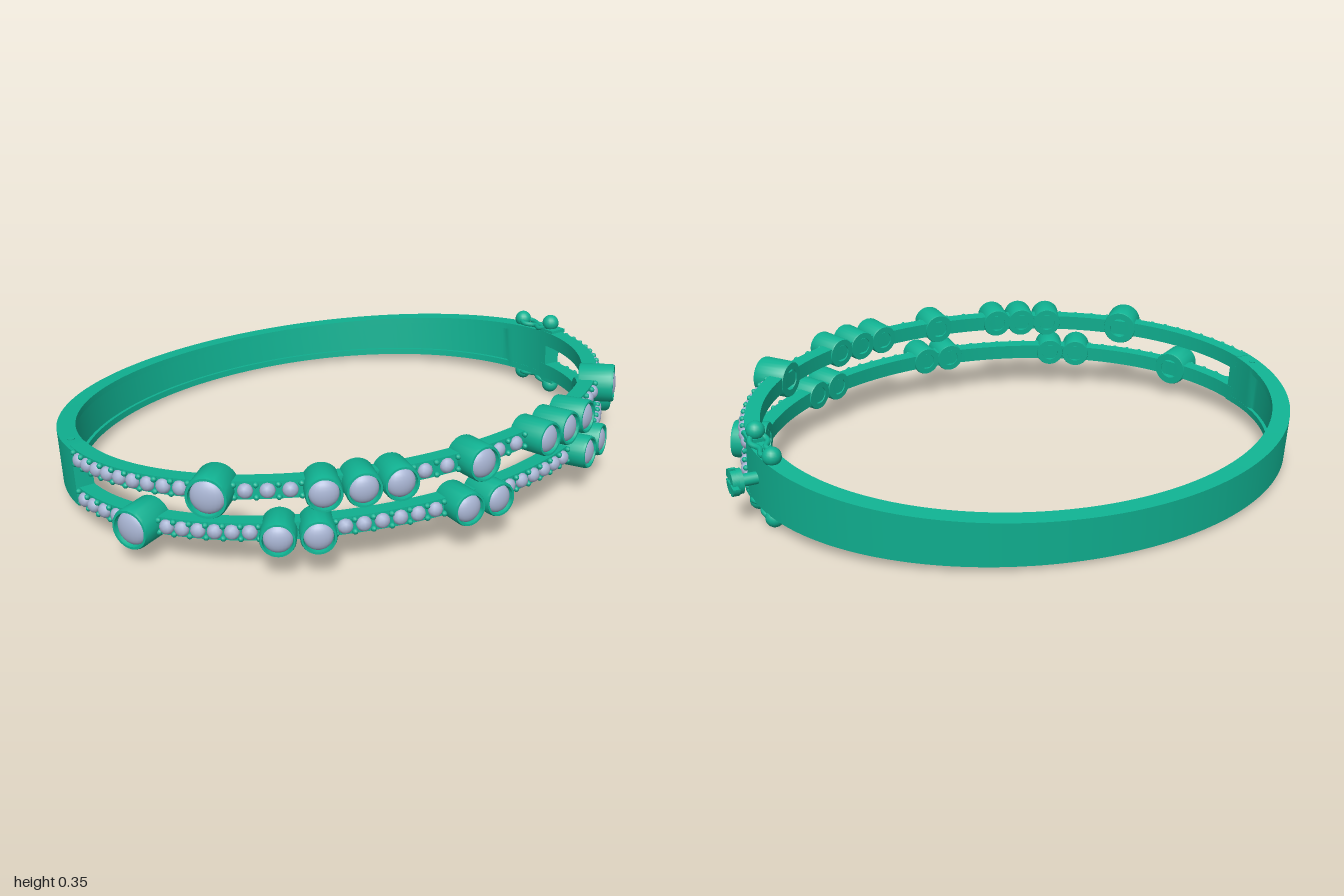
import * as THREE from 'three';
import { mergeGeometries, toCreasedNormals } from 'three/addons/utils/BufferGeometryUtils.js';

const A = 0.93, B = 0.755, CX = -0.04, CZ = -0.035; // centre-line ellipse
const metal = new THREE.MeshStandardMaterial({ color: 0x10b292 });
const gem = new THREE.MeshStandardMaterial({ color: 0xa8b4d2 });

// Frame on the ellipse: r is the outward offset, local z points outward
function frame(t, r, y) {
  const n = new THREE.Vector3(B * Math.cos(t), 0, A * Math.sin(t)).normalize();
  const up = new THREE.Vector3(0, 1, 0);
  const side = new THREE.Vector3().crossVectors(up, n);
  return new THREE.Matrix4().makeBasis(side, up, n).setPosition(
    CX + A * Math.cos(t) + n.x * r, y, CZ + B * Math.sin(t) + n.z * r);
}
const placed = (geo, t, r, y) => geo.clone().applyMatrix4(frame(t, r, y));

// Sweep a counter-clockwise (r, y) section along the ellipse, with end caps
function sweep(t0, t1, steps, section) {
  const pos = [], idx = [];
  const n = section(t0).length;
  for (let i = 0; i <= steps; i++) {
    const t = t0 + (t1 - t0) * i / steps;
    for (const [r, y] of section(t)) {
      const p = new THREE.Vector3().setFromMatrixPosition(frame(t, r, y));
      pos.push(p.x, p.y, p.z);
    }
  }
  for (let i = 0; i < steps; i++) for (let j = 0; j < n; j++) {
    const a = i * n + j, b = i * n + (j + 1) % n;
    idx.push(a, b, b + n, a, b + n, a + n);
  }
  const flat = section(t0).map(([r, y]) => new THREE.Vector2(r, y));
  const last = steps * n;
  for (const [a, b, c] of THREE.ShapeUtils.triangulateShape(flat, [])) {
    idx.push(a, c, b, last + a, last + b, last + c);
  }
  const geo = new THREE.BufferGeometry();
  geo.setAttribute('position', new THREE.Float32BufferAttribute(pos, 3));
  geo.setIndex(idx);
  return toCreasedNormals(geo, 0.6);
}

// Open tube setting, axis along local z, with a ledge for the stone
function bezelGeometry(R) {
  const pts = [[0.58, -0.035], [0.96, -0.035], [1, -0.03], [1, 0.072], [0.95, 0.08],
    [0.84, 0.08], [0.8, 0.062], [0.58, 0.04], [0.58, -0.035]];
  const geo = new THREE.LatheGeometry(pts.map(([r, y]) => new THREE.Vector2(r * R, y)), 28);
  geo.rotateX(Math.PI / 2);
  return toCreasedNormals(geo, 0.6);
}

export function createModel() {
  const model = new THREE.Group();
  model.name = 'bangle';
  model.position.y = 0.157;
  model.rotation.x = -0.09;
  const add = (name, geo, mat = metal, parent = model) => {
    const mesh = new THREE.Mesh(geo, mat);
    mesh.name = name;
    parent.add(mesh);
    return mesh;
  };

  // Solid back band, tapering to the rear, with a shallow recess inside
  add('backBand', sweep(Math.PI - 0.045, 2 * Math.PI + 0.045, 120, t => {
    const h = 0.0925 - 0.0225 * Math.max(0, -Math.sin(t));
    const d = t > Math.PI + 0.17 && t < 2 * Math.PI - 0.25 ? 0.012 : 0.0005;
    const k = h - 0.022;
    return [[-0.03, -h], [0.03, -h], [0.03, h], [-0.03, h],
      [-0.03, k], [-0.03 + d, k], [-0.03 + d, -k], [-0.03, -k]];
  }));

  // Jewelled front rails: offsets from the middle and radius of each bezel
  const pairUp = [[0.745, 0.064], [0.475, 0.054], [0.37, 0.054], [0.265, 0.054]];
  const pairLow = [[0.9, 0.064], [0.595, 0.053], [0.495, 0.053], [0.055, 0.053]];
  const mirrored = list => list.flatMap(([x, R]) => [[x, R], [-x, R]]);
  const rails = [
    { name: 'upperRail', y: 0.067, bezels: [...mirrored(pairUp), [0, 0.056]] },
    { name: 'lowerRail', y: -0.062, bezels: mirrored(pairLow) },
  ];
  const bead = new THREE.IcosahedronGeometry(0.0235, 1).scale(1, 1, 0.8);
  const prong = new THREE.SphereGeometry(0.009, 8, 6);
  for (const { name, y, bezels } of rails) {
    const rail = new THREE.Group();
    rail.name = name;
    model.add(rail);
    add(name + 'Bar', sweep(0.0, Math.PI, 80, () =>
      [[-0.03, y - 0.027], [0.02, y - 0.027], [0.02, y + 0.027], [-0.03, y + 0.027]]), metal, rail);

    // Bezels and their domed stones
    const stops = bezels.map(([x, R]) => ({ t: Math.acos(x / 0.99), R })).sort((a, b) => a.t - b.t);
    const settings = [], stones = [], beads = [], prongs = [];
    for (const { t, R } of stops) {
      settings.push(placed(bezelGeometry(R), t, 0, y));
      const dome = new THREE.SphereGeometry(1, 20, 12).scale(R * 0.82, R * 0.82, 0.024);
      stones.push(placed(dome, t, 0.062, y));
    }

    // Small stones spaced evenly in the gaps between bezels
    const marks = [{ t: 0.055, R: 0 }, ...stops, { t: Math.PI - 0.055, R: 0 }];
    for (let i = 0; i + 1 < marks.length; i++) {
      const a = marks[i], b = marks[i + 1], tm = (a.t + b.t) / 2;
      const speed = Math.hypot(A * Math.sin(tm), B * Math.cos(tm));
      const start = a.t + a.R / speed, gap = b.t - b.R / speed - start;
      const count = Math.floor(gap * speed / 0.049);
      for (let k = 0; k < count; k++) {
        beads.push(placed(bead, start + gap * (k + 0.5) / count, 0.022, y));
      }
      for (let k = 0; count > 0 && k <= count; k++) for (const s of [-1, 1]) {
        prongs.push(placed(prong, start + gap * k / count, 0.026, y + s * 0.019));
      }
    }
    add('bezels', mergeGeometries(settings), metal, rail);
    add('largeStones', mergeGeometries(stones), gem, rail);
    add('smallStones', mergeGeometries(beads), gem, rail);
    add('prongs', mergeGeometries(prongs), metal, rail);
  }

  // Hinge pin at the left-hand end of the band
  add('hingePin', new THREE.CylinderGeometry(0.012, 0.012, 0.188, 12)).position.set(-0.968, 0, -0.09);

  // Clasp: one safety catch above and one below the band
  const clasp = new THREE.Group();
  clasp.name = 'clasp';
  model.add(clasp);
  const ball = new THREE.SphereGeometry(0.03, 16, 12);
  for (const s of [-1, 1]) {
    add('catchBall', ball, metal, clasp).position.set(0.89, s * 0.123, -0.01);
    add('catchPivot', ball, metal, clasp).position.set(0.885, s * 0.106, -0.165);
    add('catchPlate', new THREE.BoxGeometry(0.06, 0.014, 0.07), metal, clasp).position.set(0.89, s * 0.097, 0.0);
    for (const bulge of [-1, 1]) {
      const arm = new THREE.CatmullRomCurve3([
        [0.89 + bulge * 0.015, 0.112, -0.01], [0.89 + bulge * 0.028, 0.1, -0.045],
        [0.89 + bulge * 0.01, 0.098, -0.085], [0.885 + bulge * 0.024, 0.1, -0.13],
        [0.885 + bulge * 0.01, 0.106, -0.165],
      ].map(([x, y, z]) => new THREE.Vector3(x, s * y, z)));
      add('catchArm', new THREE.TubeGeometry(arm, 20, 0.009, 8), metal, clasp);
    }
  }

  // Thumb button: stem, disc and four quadrants separated by a cross slot
  const disc = (r, len, x) => {
    const geo = new THREE.CylinderGeometry(r, r, len, 24).rotateZ(Math.PI / 2);
    add('thumbButton', geo, metal, clasp).position.set(x, 0.005, -0.095);
  };
  disc(0.02, 0.08, 0.93);
  disc(0.04, 0.016, 0.972);
  const quarter = new THREE.Shape().moveTo(0, 0).lineTo(0.036, 0).absarc(0, 0, 0.036, 0, Math.PI / 2, false);
  const pad = new THREE.ExtrudeGeometry(quarter, { depth: 0.022, bevelEnabled: false, curveSegments: 8 });
  for (let i = 0; i < 4; i++) {
    const piece = pad.clone().translate(0.006, 0.006, 0).rotateZ(i * Math.PI / 2).rotateY(Math.PI / 2);
    add('buttonQuadrant', piece, metal, clasp).position.set(0.978, 0.005, -0.095);
  }
  return model;
}
